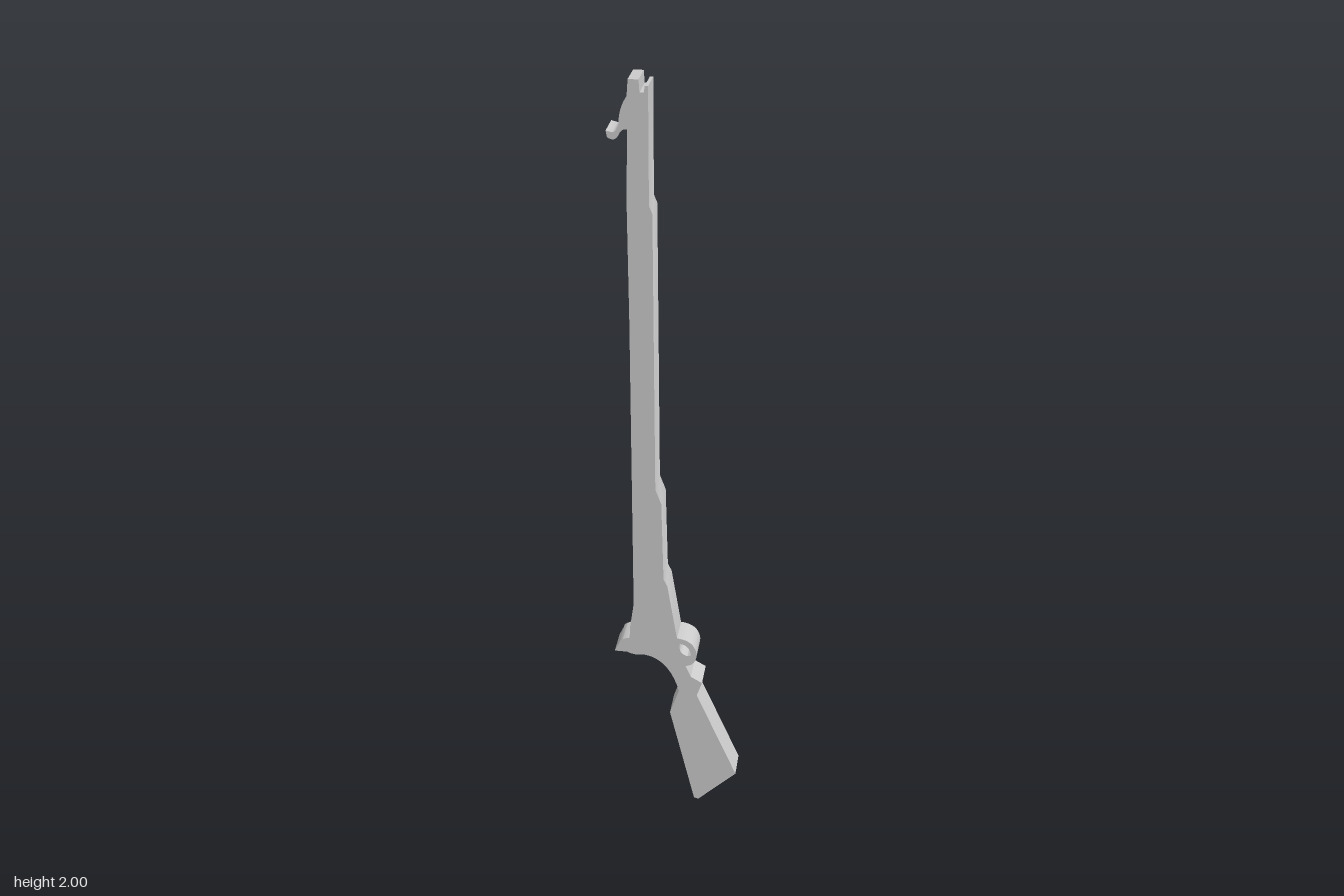
import * as THREE from 'three';
import { toCreasedNormals } from 'three/addons/utils/BufferGeometryUtils.js';

const DEPTH = 0.084;

export function createModel() {
  const model = new THREE.Group();
  model.name = 'flatRifle';
  const s = new THREE.Shape();
  const lines = (...pts) => pts.forEach(([x, y]) => s.lineTo(x, y));

  // muzzle with sight notch
  s.moveTo(-0.11, 2);
  s.lineTo(-0.113, 1.96);
  // hammer-like hook beside the muzzle
  s.quadraticCurveTo(-0.13, 1.935, -0.132, 1.905);
  s.quadraticCurveTo(-0.133, 1.875, -0.148, 1.874);
  lines([-0.163, 1.878], [-0.16, 1.862]);
  s.quadraticCurveTo(-0.142, 1.85, -0.133, 1.868);
  s.quadraticCurveTo(-0.125, 1.885, -0.113, 1.882);
  // barrel, back edge
  lines([-0.116, 1.7], [-0.113, 1.4], [-0.111, 0.61], [-0.121, 0.54], [-0.123, 0.506]);
  // rear spur
  s.quadraticCurveTo(-0.15, 0.5, -0.151, 0.487);
  lines([-0.163, 0.463], [-0.13, 0.462]);
  s.quadraticCurveTo(-0.11, 0.452, -0.087, 0.457);
  // curved wrist
  s.bezierCurveTo(-0.045, 0.453, -0.01, 0.42, 0.008, 0.35);
  // butt
  lines([-0.016, 0.28], [0.05, 0.005], [0.062, 0.002], [0.163, 0.095], [0.056, 0.34]);
  // grip notch
  lines([0.07, 0.38], [0.04, 0.397], [0.026, 0.43]);
  // trigger guard
  s.quadraticCurveTo(0.055, 0.435, 0.055, 0.468);
  s.quadraticCurveTo(0.05, 0.51, 0.003, 0.514);
  // fore-end steps and barrel, front edge
  lines([-0.022, 0.67], [-0.032, 0.69], [-0.037, 0.91], [-0.052, 0.95],
    [-0.055, 1.68], [-0.063, 1.7], [-0.063, 1.985], [-0.071, 1.985],
    [-0.073, 1.97], [-0.083, 1.97], [-0.085, 2]);
  s.closePath();

  // opening in the trigger guard
  const hole = new THREE.Path();
  hole.moveTo(0.01, 0.497);
  hole.quadraticCurveTo(0.035, 0.497, 0.04, 0.465);
  hole.quadraticCurveTo(0.03, 0.458, 0.02, 0.466);
  hole.quadraticCurveTo(0.008, 0.472, 0.01, 0.497);
  s.holes.push(hole);

  const geo = new THREE.ExtrudeGeometry(s, { depth: DEPTH, bevelEnabled: false, curveSegments: 10 });
  geo.translate(0, 0, -DEPTH / 2);
  const body = new THREE.Mesh(
    toCreasedNormals(geo, 0.45),
    new THREE.MeshStandardMaterial({ color: 0xcccccc }),
  );
  body.name = 'rifleBody';
  model.add(body);
  return model;
}
